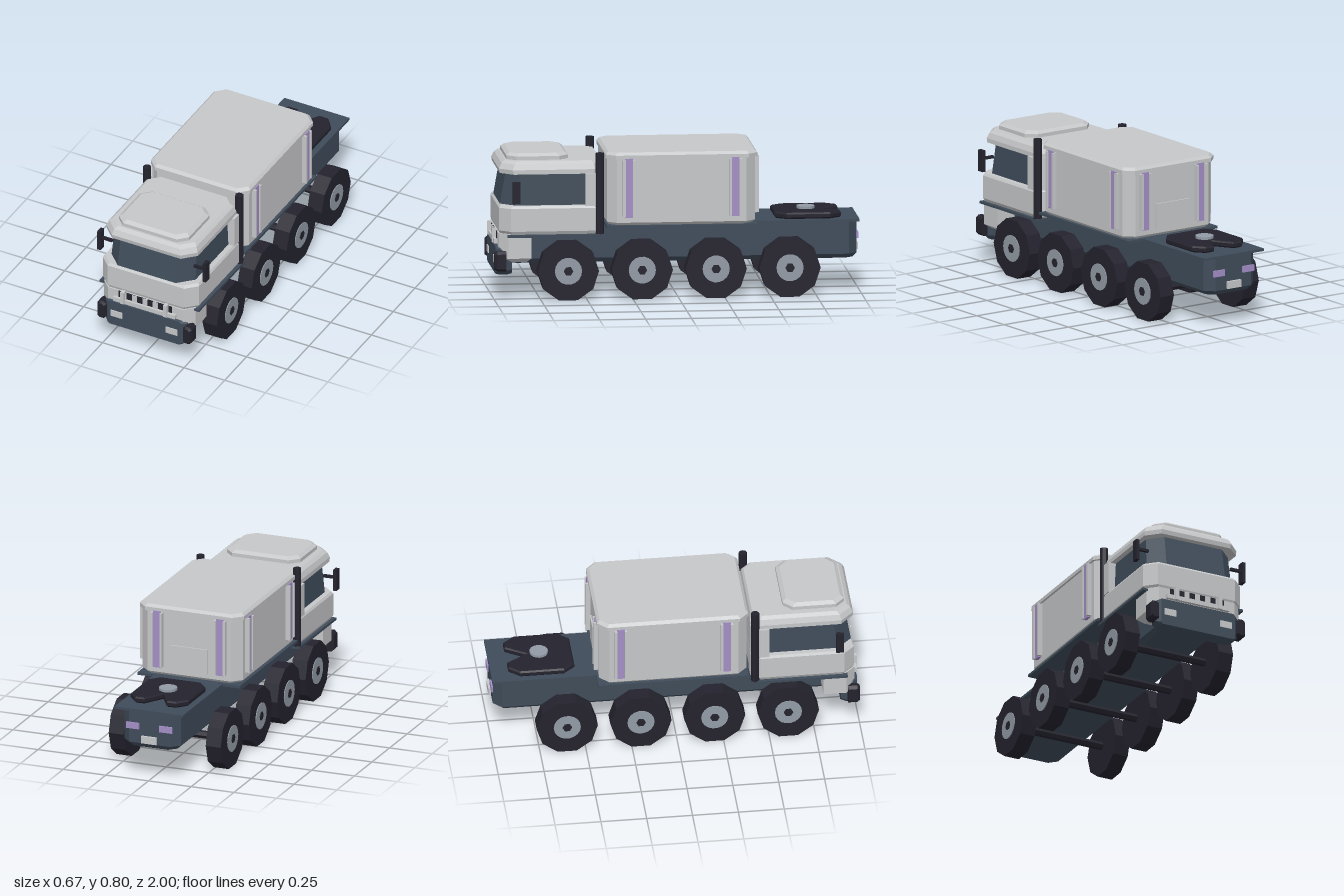
import * as THREE from 'three';

const paint = (name, color) => Object.assign(new THREE.MeshStandardMaterial({ color }), { name });

// Flat-faced solid through stacked octagons: [y, halfWidth, zBack, zFront, backChamfer, frontChamfer]
function loft(layers) {
  const rings = layers.map(([y, w, b, f, cb, cf]) => [
    [w, y, b + cb], [w, y, f - cf], [w - cf, y, f], [-w + cf, y, f],
    [-w, y, f - cf], [-w, y, b + cb], [-w + cb, y, b], [w - cb, y, b]]);
  const pos = [];
  const tri = (...pts) => pts.forEach((p) => pos.push(...p));
  for (let k = 0; k + 1 < rings.length; k++) {
    for (let i = 0; i < 8; i++) {
      const j = (i + 1) % 8, lo = rings[k], hi = rings[k + 1];
      tri(lo[i], hi[i], lo[j]);
      tri(hi[i], hi[j], lo[j]);
    }
  }
  const bottom = rings[0], top = rings[rings.length - 1];
  for (let i = 1; i < 7; i++) {
    tri(bottom[0], bottom[i], bottom[i + 1]);
    tri(top[0], top[i + 1], top[i]);
  }
  const g = new THREE.BufferGeometry();
  g.setAttribute('position', new THREE.Float32BufferAttribute(pos, 3));
  g.computeVertexNormals();
  return g;
}

export function createModel() {
  const white = paint('bodyWhite', 0xc6c7c9);
  const blue = paint('chassisBlue', 0x3f4c5a);
  const black = paint('rubberBlack', 0x24232e);
  const grey = paint('hubGrey', 0x929ba6);
  const purple = paint('stripPurple', 0xa48fc6);
  const model = new THREE.Group();
  model.name = 'truck';

  const add = (name, geo, mat, x = 0, y = 0, z = 0) => {
    const m = new THREE.Mesh(geo, mat);
    m.name = name;
    m.position.set(x, y, z);
    model.add(m);
    return m;
  };
  // Box from its extents
  const box = (name, mat, x0, x1, y0, y1, z0, z1) => add(name,
    new THREE.BoxGeometry(x1 - x0, y1 - y0, z1 - z0), mat, (x0 + x1) / 2, (y0 + y1) / 2, (z0 + z1) / 2);
  const axial = (r, w, n) => new THREE.CylinderGeometry(r, r, w, n).toNonIndexed().rotateZ(Math.PI / 2);
  const flat = (g) => { g.computeVertexNormals(); return g; };

  // Chassis beam, decks and cab floor
  add('chassisBeam', loft([
    [0.18, 0.14, -0.965, 0.9, 0.04, 0.03], [0.205, 0.165, -0.985, 0.92, 0.045, 0.03],
    [0.345, 0.165, -0.985, 0.92, 0.045, 0.03]]), blue);
  add('upperBeam', loft([
    [0.345, 0.165, -0.985, 0.42, 0.045, 0], [0.386, 0.165, -0.985, 0.42, 0.045, 0]]), blue);
  box('rearDeck', blue, -0.2, 0.2, 0.386, 0.4, -0.995, -0.4);
  box('bodyDeck', blue, -0.3, 0.3, 0.386, 0.4, -0.43, 0.39);
  box('cabFloor', blue, -0.305, 0.305, 0.343, 0.357, 0.405, 0.93);

  // Wheels and axles
  for (const z of [0.6, 0.2, -0.2, -0.6].map((v) => v * 1.005)) {
    add('axle', flat(axial(0.022, 0.5, 6)), black, 0, 0.16, z);
    for (const s of [-1, 1]) {
      add('tire', flat(axial(0.167, 0.088, 10)), black, s * 0.284, 0.159, z);
      add('hub', flat(axial(0.074, 0.01, 18)), grey, s * 0.327, 0.16, z);
      add('hubCap', flat(axial(0.026, 0.01, 6)), black, s * 0.33, 0.16, z);
    }
  }

  // Cab shell from bottom to top
  add('lowerCab', loft([
    [0.2, 0.24, 0.82, 0.95, 0, 0.05], [0.225, 0.28, 0.8, 0.975, 0, 0.05],
    [0.36, 0.28, 0.8, 0.975, 0, 0.05]]), white);
  add('grilleBacking', loft([
    [0.357, 0.285, 0.405, 0.965, 0.05, 0.06], [0.375, 0.295, 0.405, 0.972, 0.05, 0.06],
    [0.5, 0.295, 0.405, 0.972, 0.05, 0.06], [0.513, 0.287, 0.41, 0.962, 0.05, 0.06]]), white).name = 'cabBody';
  add('cabWindows', loft([
    [0.51, 0.258, 0.45, 0.962, 0, 0.08], [0.69, 0.25, 0.45, 0.93, 0, 0.075]]), blue);
  add('cabRearPanel', loft([
    [0.51, 0.295, 0.405, 0.505, 0.05, 0], [0.69, 0.295, 0.405, 0.505, 0.05, 0]]), white);
  add('cabRoof', loft([
    [0.686, 0.28, 0.405, 0.965, 0.05, 0.07], [0.71, 0.28, 0.405, 0.97, 0.05, 0.07],
    [0.74, 0.268, 0.41, 0.955, 0.05, 0.065], [0.755, 0.25, 0.42, 0.935, 0.05, 0.06]]), white);
  add('roofPod', loft([
    [0.755, 0.215, 0.59, 0.925, 0.05, 0.05], [0.775, 0.215, 0.59, 0.925, 0.05, 0.05],
    [0.79, 0.195, 0.61, 0.905, 0.045, 0.045]]), white);

  // Grille, guard and bumper
  box('grille', black, -0.163, 0.163, 0.32, 0.36, 0.972, 0.979);
  for (let i = -2; i <= 2; i++) {
    box('grilleTooth', white, i * 0.064 - 0.015, i * 0.064 + 0.015, 0.32, 0.36, 0.974, 0.983);
  }
  box('guardBar', white, -0.19, 0.19, 0.295, 0.32, 0.974, 0.994);
  add('bumper', loft([
    [0.9, 0.235, -0.285, -0.135, 0.02, 0.025], [0.93, 0.25, -0.29, -0.13, 0.02, 0.025],
    [0.965, 0.25, -0.29, -0.13, 0.02, 0.025], [0.99, 0.225, -0.285, -0.135, 0.01, 0.01]])
    .rotateX(Math.PI / 2), blue);

  for (const s of [-1, 1]) {
    const side = (name, mat, x0, x1, ...rest) =>
      box(name, mat, Math.min(s * x0, s * x1), Math.max(s * x0, s * x1), ...rest);
    side('guardPost', white, 0.12, 0.142, 0.295, 0.37, 0.972, 1);
    side('headlight', white, 0.134, 0.205, 0.192, 0.23, 0.987, 0.995);
    add('bumperEnd', loft([
      [0.935, 0.027, -0.055, 0.055, 0.015, 0.015], [0.985, 0.027, -0.055, 0.055, 0.015, 0.015],
      [1, 0.018, -0.045, 0.045, 0.01, 0.01]]).rotateX(Math.PI / 2), black, s * 0.262, 0.21, 0);
    // Mirrors and exhaust stacks
    side('mirrorArm', black, 0.25, 0.315, 0.597, 0.612, 0.876, 0.892);
    side('mirror', black, 0.313, 0.333, 0.533, 0.652, 0.864, 0.906);
    add('exhaustStack', flat(new THREE.CylinderGeometry(0.023, 0.023, 0.445, 8).toNonIndexed()),
      black, s * 0.283, 0.577, 0.427);

    // Purple strips framed by white ribs on the body sides and back
    for (const z of [0.27, -0.308]) {
      side('sideStrip', purple, 0.29, 0.311, 0.445, 0.768, z - 0.021, z + 0.021);
      for (const d of [-0.027, 0.027]) {
        side('sideRib', white, 0.29, 0.32, 0.45, 0.76, z + d - 0.007, z + d + 0.007);
      }
    }
    side('backStrip', purple, 0.164, 0.206, 0.445, 0.768, -0.436, -0.41);
    for (const d of [-0.027, 0.027]) {
      side('backRib', white, 0.178 + d, 0.192 + d, 0.45, 0.76, -0.445, -0.41);
    }
    side('tailLight', purple, 0.06, 0.135, 0.285, 0.32, -0.994, -0.984);
  }
  box('rearPlate', white, -0.045, 0.045, 0.21, 0.25, -1, -0.984);

  // Cargo body
  add('cargoBody', loft([
    [0.4, 0.28, -0.405, 0.375, 0.05, 0.05], [0.415, 0.294, -0.42, 0.385, 0.05, 0.05],
    [0.77, 0.294, -0.42, 0.385, 0.05, 0.05]]), white);
  add('cargoLid', loft([
    [0.764, 0.305, -0.432, 0.393, 0.05, 0.05], [0.785, 0.305, -0.432, 0.393, 0.05, 0.05],
    [0.8, 0.29, -0.417, 0.378, 0.045, 0.045]]), white);
  box('rearHatch', white, -0.11, 0.11, 0.44, 0.58, -0.428, -0.419);

  // Coupling plate with a notch open to the back
  const half = [[0.065, 0.9], [0.12, 0.9], [0.17, 0.84], [0.17, 0.6], [0.12, 0.54]];
  const outline = [[0, 0.79], ...half, ...half.map(([x, z]) => [-x, z]).reverse()];
  const plate = new THREE.ExtrudeGeometry(
    new THREE.Shape(outline.map(([x, z]) => new THREE.Vector2(x, z))),
    { depth: 0.018, bevelEnabled: true, bevelSegments: 1, bevelSize: 0.008, bevelOffset: -0.008, bevelThickness: 0.008 });
  add('couplingPlate', plate.rotateX(-Math.PI / 2), black, 0, 0.408, 0);
  add('couplingPin', flat(new THREE.CylinderGeometry(0.05, 0.05, 0.05, 16).toNonIndexed()), grey, 0, 0.423, -0.72);

  return model;
}
